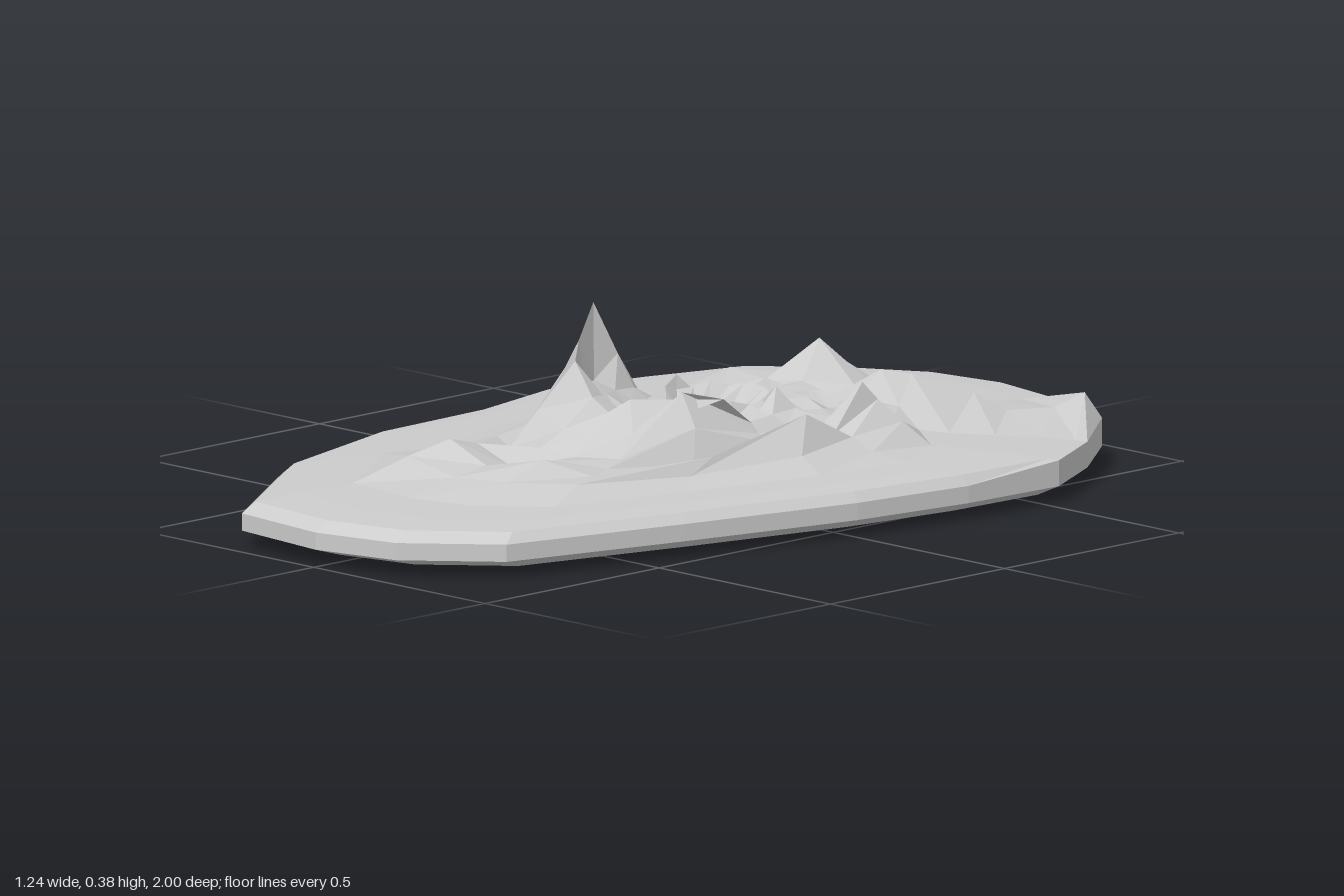
import * as THREE from 'three';

// Coastline, clockwise seen from above: [x, z]
const COAST = [
  [0, -1], [0.19, -0.97], [0.4, -0.87], [0.53, -0.7], [0.62, -0.53], [0.61, -0.28], [0.57, 0],
  [0.47, 0.4], [0.36, 0.8], [0.19, 0.95], [0, 0.995], [-0.24, 0.97], [-0.46, 0.64], [-0.56, 0.28],
  [-0.57, -0.03], [-0.62, -0.27], [-0.57, -0.5], [-0.5, -0.73], [-0.35, -0.87], [-0.18, -0.97],
];
const CENTRE = [0, -0.12];

// Rings from crater floor to shore: [fraction of the way to the coast, height]
const RINGS = [
  [0, 0.14], [0.06, 0.135], [0.11, 0.15], [0.17, 0.19], [0.21, 0.17], [0.26, 0.17], [0.31, 0.16],
  [0.36, 0.15], [0.42, 0.145], [0.49, 0.13], [0.56, 0.118], [0.64, 0.11], [0.76, 0.105],
  [0.88, 0.1], [0.97, 0.093],
];
// Shore edge and underside
const EDGE = [[1, 0.072], [1, 0.036], [0.94, 0.016], [0.7, 0.013], [0, 0.013]];

// Summits: [x, z, height, slope]
const SUMMITS = [
  [-0.17, 0.03, 0.385, 2.2], [-0.11, 0.13, 0.33, 1.8], [-0.05, 0.2, 0.305, 1.3],
  [0.02, 0.22, 0.243, 0.9], [0.08, 0.17, 0.24, 1], [0.14, 0.08, 0.25, 1.2],
  [0.18, 0.0, 0.23, 1.2], [0.13, -0.2, 0.22, 1.3], [-0.13, -0.17, 0.21, 1.2],
  [0, -0.3, 0.205, 1.2], [0.29, -0.29, 0.24, 1], [0.32, -0.1, 0.205, 1],
  [-0.1, -0.55, 0.235, 0.9], [0.06, -0.57, 0.19, 0.7], [0.17, -0.55, 0.2, 0.7],
  [-0.24, -0.43, 0.17, 0.6], [0.24, -0.66, 0.155, 0.45], [0.38, -0.84, 0.15, 0.4],
  [-0.11, 0.5, 0.178, 0.35], [0.12, 0.46, 0.162, 0.3], [-0.28, 0.05, 0.145, 0.5],
  [0.3, 0.15, 0.15, 0.5],
];

function groundHeight(x, z, base) {
  return SUMMITS.reduce((h, [sx, sz, top, slope]) =>
    Math.max(h, top - slope * Math.hypot(x - sx, z - sz)), base);
}

function buildIsland() {
  const n = COAST.length;
  const ring = (t, y, rough) => COAST.map(([cx, cz], j) => {
    const x = CENTRE[0] + (cx - CENTRE[0]) * t;
    const z = CENTRE[1] + (cz - CENTRE[1]) * t;
    // small ripple on the hills only
    const ripple = rough && t > 0.05 && t < 0.5 ? 0.009 * Math.sin(j * 2.3 + t * 40) : 0;
    return new THREE.Vector3(x, (rough ? groundHeight(x, z, y) : y) + ripple, z);
  });
  const land = RINGS.map(([t, y]) => ring(t, y, true));
  const edge = EDGE.map(([t, y]) => ring(t, y, false));

  // Pull the nearest grid corner onto each summit so that it stays sharp
  const free = new Set(land.slice(1).flat());
  for (const [x, z, y] of SUMMITS) {
    let best = null, dist = Infinity;
    for (const v of free) {
      const d = Math.hypot(v.x - x, v.z - z);
      if (d < dist) { dist = d; best = v; }
    }
    best.set(x, y, z);
    free.delete(best);
  }

  // Shore sags on the right-hand side and rises at the back-left corner
  edge[0][15].y = 0.045;
  edge[1][15].y = 0.028;
  edge[1][14].y = 0;
  edge[0][2].y = 0.095;
  edge[0][4].y = edge[0][3].y = 0.09;

  const rings = [...land, ...edge];
  const pos = [];
  const tri = (...vs) => vs.forEach((v) => pos.push(v.x, v.y, v.z));
  for (let i = 0; i < rings.length - 1; i++) {
    for (let j = 0; j < n; j++) {
      const k = (j + 1) % n;
      const [p, q, r, s] = [rings[i][j], rings[i][k], rings[i + 1][j], rings[i + 1][k]];
      if (i < rings.length - 2) tri(p, s, r);
      if (i > 0) tri(p, q, s);
    }
  }
  const geo = new THREE.BufferGeometry();
  geo.setAttribute('position', new THREE.Float32BufferAttribute(pos, 3));
  geo.computeVertexNormals();
  return geo;
}

export function createModel() {
  const group = new THREE.Group();
  group.name = 'volcanicIsland';
  const material = new THREE.MeshStandardMaterial({ color: 0xcccccc, flatShading: true });
  const island = new THREE.Mesh(buildIsland(), material);
  island.name = 'islandTerrain';
  group.add(island);
  return group;
}
